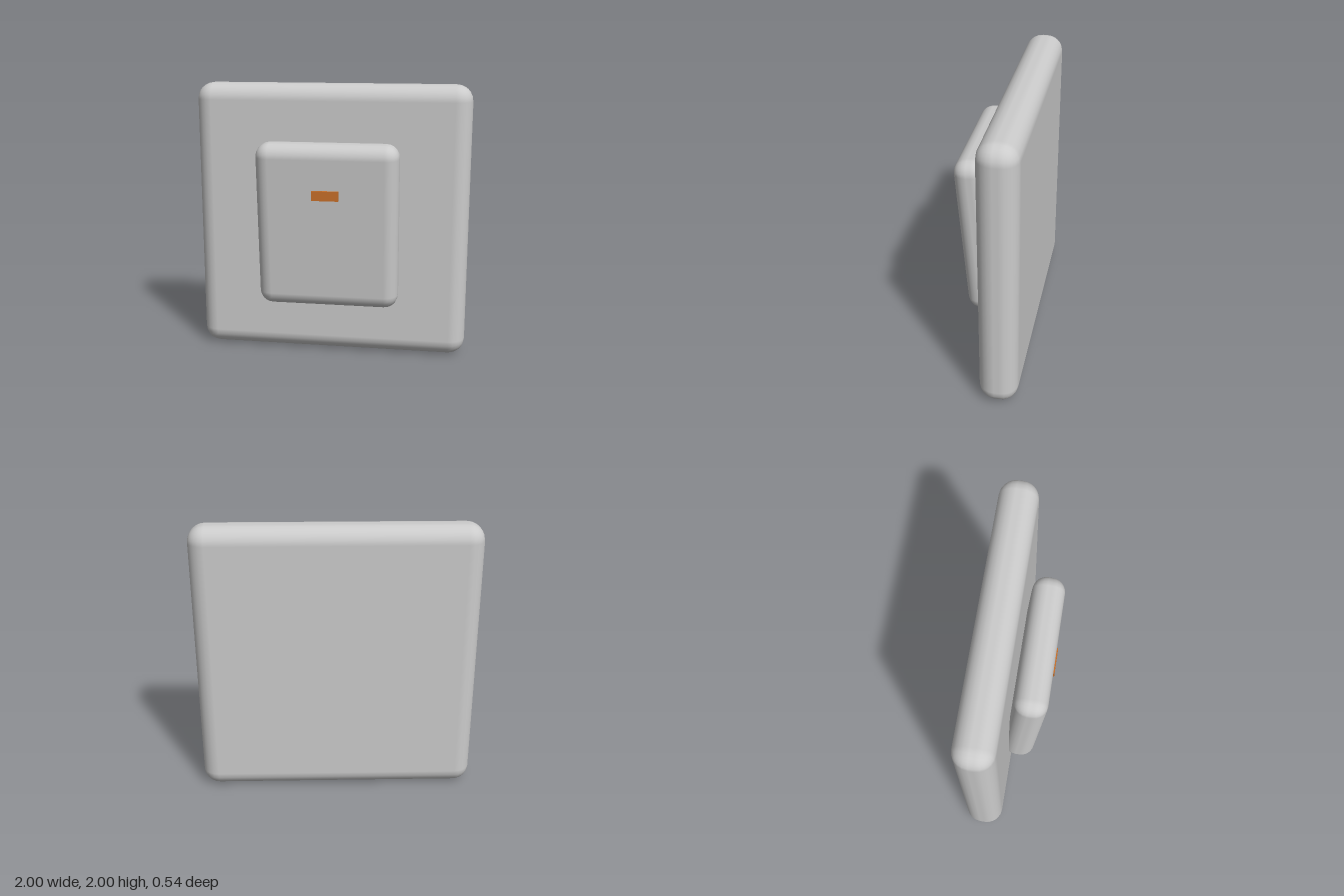
import * as THREE from 'three';
import { RoundedBoxGeometry } from 'three/addons/geometries/RoundedBoxGeometry.js';

export function createModel() {
  const group = new THREE.Group();
  const grey = new THREE.MeshStandardMaterial({ color: 0xcccccc });
  const orange = new THREE.MeshStandardMaterial({ color: 0xc8702a });

  const add = (name, geometry, material, y, z) => {
    const mesh = new THREE.Mesh(geometry, material);
    mesh.name = name;
    mesh.position.set(0, y, z);
    group.add(mesh);
    return mesh;
  };

  // Square wall plate with softly rounded edges
  add('wallPlate', new RoundedBoxGeometry(2, 2, 0.275, 3, 0.12), grey, 1, -0.132);

  // Rocker tilted so that its top stands proud of the plate
  const rocker = add('rocker', new RoundedBoxGeometry(1.02, 1.205, 0.23, 3, 0.1), grey, 1.003, 0.11);
  rocker.rotation.x = 0.078;

  // Small indicator lamp on the rocker
  add('indicatorLamp', new THREE.BoxGeometry(0.19, 0.068, 0.06), orange, 1.247, 0.24);

  return group;
}
